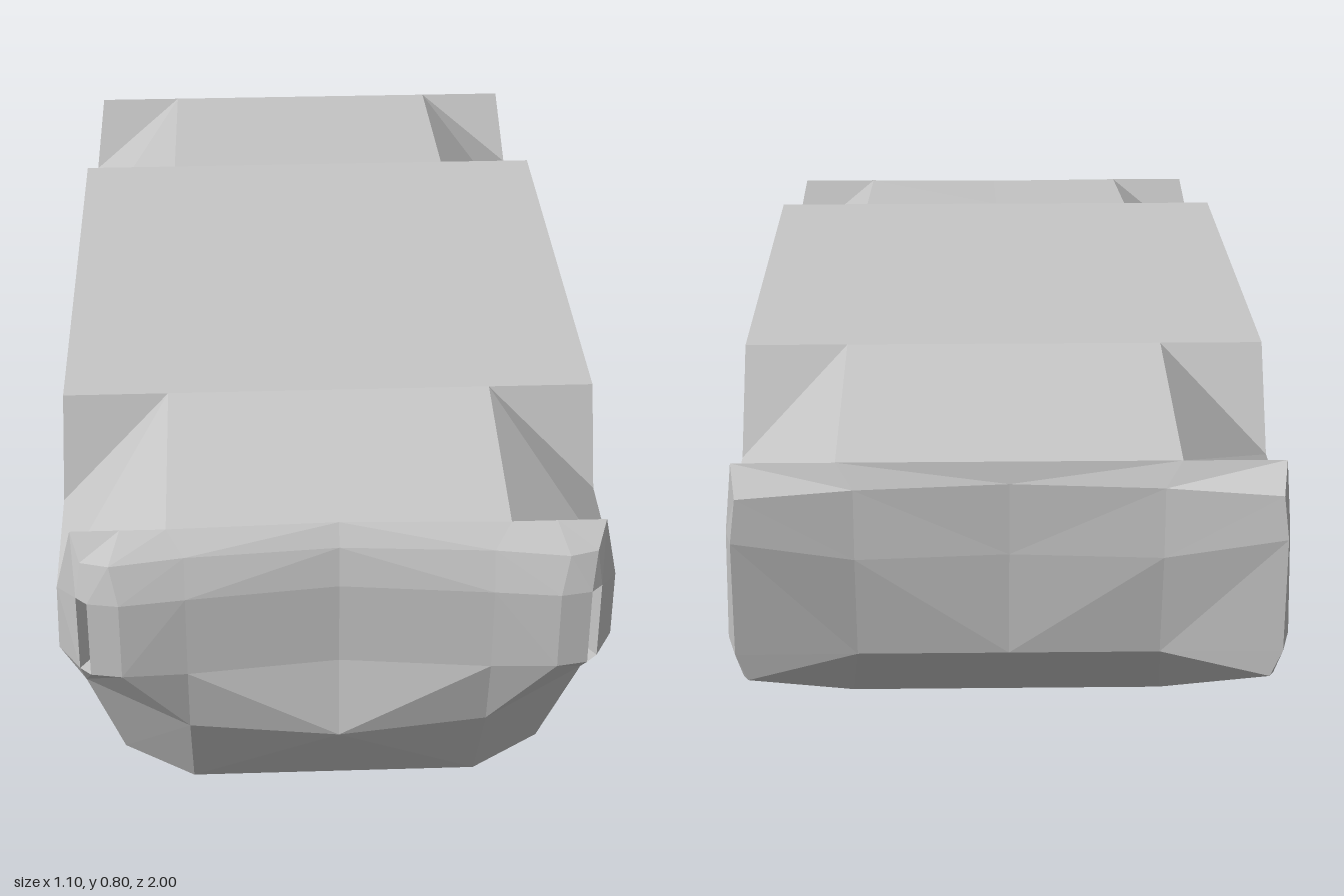
import * as THREE from 'three';

// Faceted surface from grids of points (x >= 0 half), mirrored to the other side.
// Rows and columns wind so that the outside is the visible face.
function facets(name, material, grids) {
  const pos = [];
  const v = p => new THREE.Vector3(...p);
  const tri = (a, b, c) => {
    const area = v(b).sub(v(a)).cross(v(c).sub(v(a))).length();
    if (area < 1e-6) return;
    pos.push(...a, ...b, ...c);
    for (const [x, y, z] of [a, c, b]) pos.push(-x, y, z);
  };
  for (const rows of grids) {
    for (let i = 0; i + 1 < rows.length; i++) {
      for (let j = 0; j + 1 < rows[i].length; j++) {
        const a = rows[i][j], b = rows[i][j + 1], c = rows[i + 1][j + 1], d = rows[i + 1][j];
        tri(a, d, c);
        tri(a, c, b);
      }
    }
  }
  const g = new THREE.BufferGeometry();
  g.setAttribute('position', new THREE.Float32BufferAttribute(pos, 3));
  g.computeVertexNormals();
  const mesh = new THREE.Mesh(g, material);
  mesh.name = name;
  return mesh;
}

export function createModel() {
  const group = new THREE.Group();
  group.name = 'overturnedCarShell';
  const grey = new THREE.MeshStandardMaterial({ color: 0xc7c7c7 });
  grey.name = 'bodyGrey';
  const plate = new THREE.MeshStandardMaterial({ color: 0xc7c7c7, side: THREE.DoubleSide });
  plate.name = 'mirrorGrey';
  const add = (name, ...grids) => group.add(facets(name, grey, grids));

  // Stations from -z to +z: floor centre, floor inner, floor edge, sill, waist, belt
  const S = [
    [[0, .755, -.94], [.3, .755, -.94], [.48, .755, -.94], [.5, .6, -.88], [.498, .42, -.93], [.472, .35, -.95]],
    [[0, .8, -.45], [.3, .8, -.45], [.495, .8, -.45], [.502, .6, -.53], [.506, .445, -.41], [.47, .33, -.41]],
    [[0, .8, .55], [.3, .8, .55], [.495, .8, .55], [.502, .6, .6], [.506, .445, .6], [.4658, .33, .6]],
    [[0, .755, .925], [.3, .755, .935], [.466, .755, .935], [.5, .6, .88], [.506, .445, .85], [.465, .33, .8]],
  ];
  const [nose, fore, aft, tail] = S;

  // Underfloor, which faces up
  add('underfloor', S.map(s => s.slice(0, 2)), [fore.slice(1, 3), aft.slice(1, 3)]);

  // Sides between the arches, and the full-length flanks
  add('bodySides', [fore.slice(2, 4), aft.slice(2, 4)], S.map(s => s.slice(3)));

  // Sloping wheel arches with triangular end walls
  const arch = (b, f) => [
    [[b[1], b[3]], [f[1], f[3]]],
    [[b[1], b[2]], [b[1], b[3]]],
    [[f[1], f[3]], [f[1], f[2]]],
  ];
  add('noseWheelArches', ...arch(nose, fore));
  add('tailWheelArches', ...arch(aft, tail));

  // Cabin sides, bevel and roof, which faces down
  const roofFore = [[.405, .055, -.26], [.305, 0, -.19], [0, 0, -.19]];
  const roofAft = [[.405, .085, .7], [.305, .025, .69], [0, .025, .69]];
  add('cabin', [[fore[5], ...roofFore], [tail[5], ...roofAft]]);

  // Windscreen
  const base = [[0, .295, -.5], [.29, .295, -.49], fore[5]];
  add('windscreen', [
    [roofFore[2], roofFore[1], roofFore[0]],
    [[0, .05, -.34], [.27, .05, -.34], roofFore[0]],
    base,
  ]);

  // Folded bonnet, its outer nose facets, and side flaps that face inward
  const corner = [[.47, .71, -.995], [.48, .63, -1], [.482, .41, -.985], [.462, .355, -.975]];
  const fold = [.29, .2, -.72], lip = [.27, .38, -.925];
  add('bonnet',
    [base, [[0, .2, -.72], fold, fold]],
    [[[0, .2, -.72], fold], [[0, .38, -.925], lip]],
    [[lip, lip], [corner[3], fold]],
    [[fold, fold], [fore[5], corner[3]]]);
  add('wingLip', [[fore[5], fore[5]], [[.44, .335, -.85], nose[5]]]);

  // Nose bumper, bottom to top, with corners wrapping into the flank
  add('noseBumper',
    [
      [[0, .38, -.925], lip, corner[2]],
      [[0, .58, -.94], [.27, .58, -.96], corner[1]],
      [[0, .715, -.945], [.27, .71, -.957], corner[0]],
      nose.slice(0, 3),
    ],
    [[lip, corner[3]], [lip, corner[2]]],
    [corner, nose.slice(2)]);

  // Tail panel, top to bottom
  const lamp = [[.45, .71, .965], [.44, .64, .99], [.44, .487, .99]];
  const slot = [[.44, .64, .94], [.44, .487, .94]];
  const rim = [[.46, .64, .97], [.46, .487, .97]];
  add('tailPanel',
    [
      [tail[0], tail[1], [.38, .755, .935], tail[2]],
      [[0, .715, .945], [.27, .715, .965], [.4, .71, .98], lamp[0]],
      [[0, .64, .955], [.27, .64, .985], [.385, .64, 1], lamp[1]],
      [[0, .475, .95], [.27, .475, .98], [.385, .487, 1], lamp[2]],
    ],
    [tail.slice(2), [lamp[0], ...rim, tail[5]]]);

  // Narrow slots beside the tail lamps, with their surrounds
  add('lampSlots',
    [rim, slot, lamp.slice(1)],
    [[lamp[1], lamp[1]], [slot[0], rim[0]]],
    [[lamp[2], lamp[2]], [rim[1], slot[1]]],
    [[lamp[0], lamp[0]], [lamp[1], rim[0]]],
    [[lamp[2], rim[1]], [tail[5], tail[5]]]);

  // Lower tail and hatch
  const mid = [0, .32, .97], side = [.27, .33, .945];
  add('hatch',
    [[[0, .475, .95], [.27, .475, .98]], [mid, mid]],
    [[[.27, .475, .98], [.385, .487, 1], lamp[2]], [side, side, tail[5]]],
    [[[.27, .475, .98], [.27, .475, .98]], [mid, side]],
    [
      [mid, side, tail[5]],
      [[0, .09, .8], [.27, .09, .8], roofAft[0]],
      [roofAft[2], roofAft[1], roofAft[0]],
    ]);

  // Flat door mirrors
  group.add(facets('doorMirrors', plate, [[
    [[.47, .33, -.42], [.547, .33, -.42]],
    [[.474, .28, -.42], [.55, .275, -.42]],
  ]]));
  return group;
}
